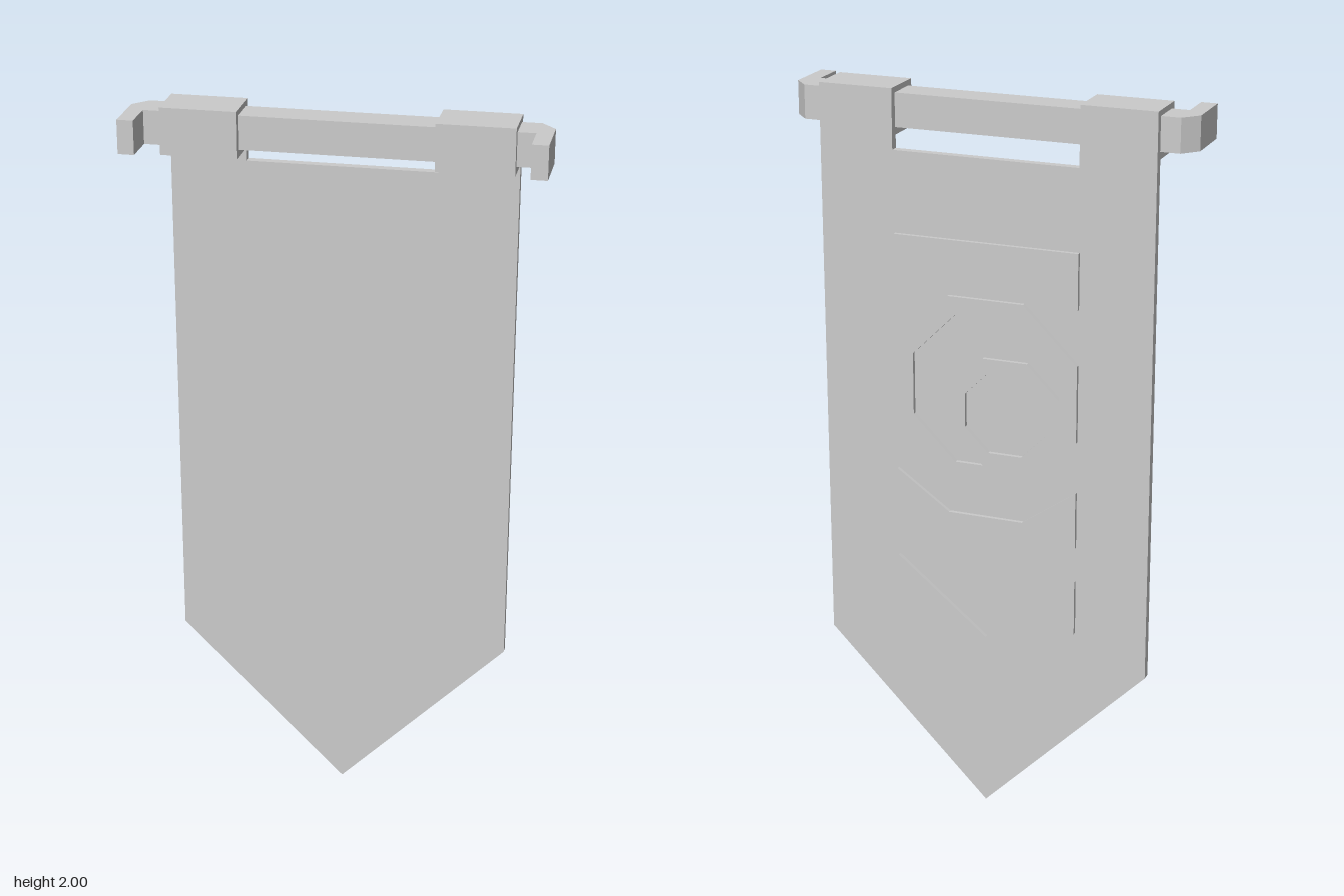
import * as THREE from 'three';

const BACK = -0.102, FLOOR = -0.091, FRONT = -0.079; // cloth depth layers
const material = new THREE.MeshStandardMaterial({ color: 0xcccccc, flatShading: true });

const toPoints = (list) => list.map(([x, y]) => new THREE.Vector2(x, y));

// Closes a right-hand half outline (listed top to bottom) with its mirror image
function mirrored(half) {
  const other = half.filter(([x]) => x !== 0).map(([x, y]) => [-x, y]).reverse();
  return [...half, ...other];
}

// Regular octagon with flat sides at distance r from its centre
function octagon(cx, cy, r) {
  const k = r / Math.cos(Math.PI / 8);
  return Array.from({ length: 8 }, (_, i) => {
    const a = Math.PI / 8 + (i * Math.PI) / 4;
    return [cx + k * Math.cos(a), cy + k * Math.sin(a)];
  });
}

// Flat plate between two depths, with optional holes
function plate(name, outline, z0, z1, holes = []) {
  const shape = new THREE.Shape(toPoints(outline));
  holes.forEach((h) => shape.holes.push(new THREE.Path(toPoints(h))));
  const geometry = new THREE.ExtrudeGeometry(shape, { depth: z1 - z0, bevelEnabled: false });
  geometry.translate(0, 0, z0);
  const mesh = new THREE.Mesh(geometry, material);
  mesh.name = name;
  return mesh;
}

export function createModel() {
  const group = new THREE.Group();
  group.name = 'hangingBanner';

  // Cloth: pointed sheet with two straps at the top, and a raised border behind
  const cloth = mirrored([[0.255, 1.84], [0.255, 2], [0.458, 2], [0.458, 0.46], [0, 0]]);
  const recess = mirrored([[0.355, 1.715], [0.355, 0.502], [0, 0.147]]);
  group.add(plate('clothSheet', cloth, FLOOR, FRONT));
  group.add(plate('clothBorder', cloth, BACK, FLOOR, [recess]));

  // Raised emblem bands on the back
  const bands = {
    upperBand: [[0.255, 1.617], [0.255, 1.466], [0.105, 1.566]],
    middleChevron: [[0.105, 0.857], [0.255, 0.962], [0.255, 0.805], [0, 0.655]],
    lowerChevron: [[0, 0.503], [0.255, 0.708], [0.255, 0.555], [0, 0.302]],
  };
  for (const [name, half] of Object.entries(bands)) {
    group.add(plate(name, mirrored(half), BACK, FLOOR));
  }

  // Octagonal ring with a smaller ring merged into its lower side
  const crescent = [
    [-0.205, 1.217], [-0.205, 1.295], [-0.085, 1.415], [0.085, 1.415], [0.205, 1.295],
    [0.205, 1.125], [0.085, 1.005], [0.007, 1.005],
    [0.095, 1.093], [0.095, 1.217], [0.007, 1.305], [-0.117, 1.305],
  ];
  group.add(plate('ringEmblem', octagon(0, 1.21, 0.255), BACK, FLOOR,
    [crescent, octagon(-0.055, 1.155, 0.112)]));

  // Square rod whose ends turn forward into hooks
  const rodOutline = mirrored([
    [0.505, 0.005], [0.505, 0.1], [0.548, 0.1], [0.548, -0.04], [0.51, -0.082],
  ]);
  const rod = plate('hookedRod', rodOutline, 0, 0.09);
  rod.geometry.rotateX(Math.PI / 2).translate(0, 1.985, 0);
  group.add(rod);

  // Strap loops folded over the rod
  for (const side of [1, -1]) {
    const depth = 0.025 - FRONT;
    const loop = new THREE.Mesh(new THREE.BoxGeometry(0.203, 0.125, depth), material);
    loop.name = side > 0 ? 'leftStrapLoop' : 'rightStrapLoop';
    loop.position.set(side * 0.3565, 1.9375, FRONT + depth / 2);
    group.add(loop);
  }
  return group;
}
